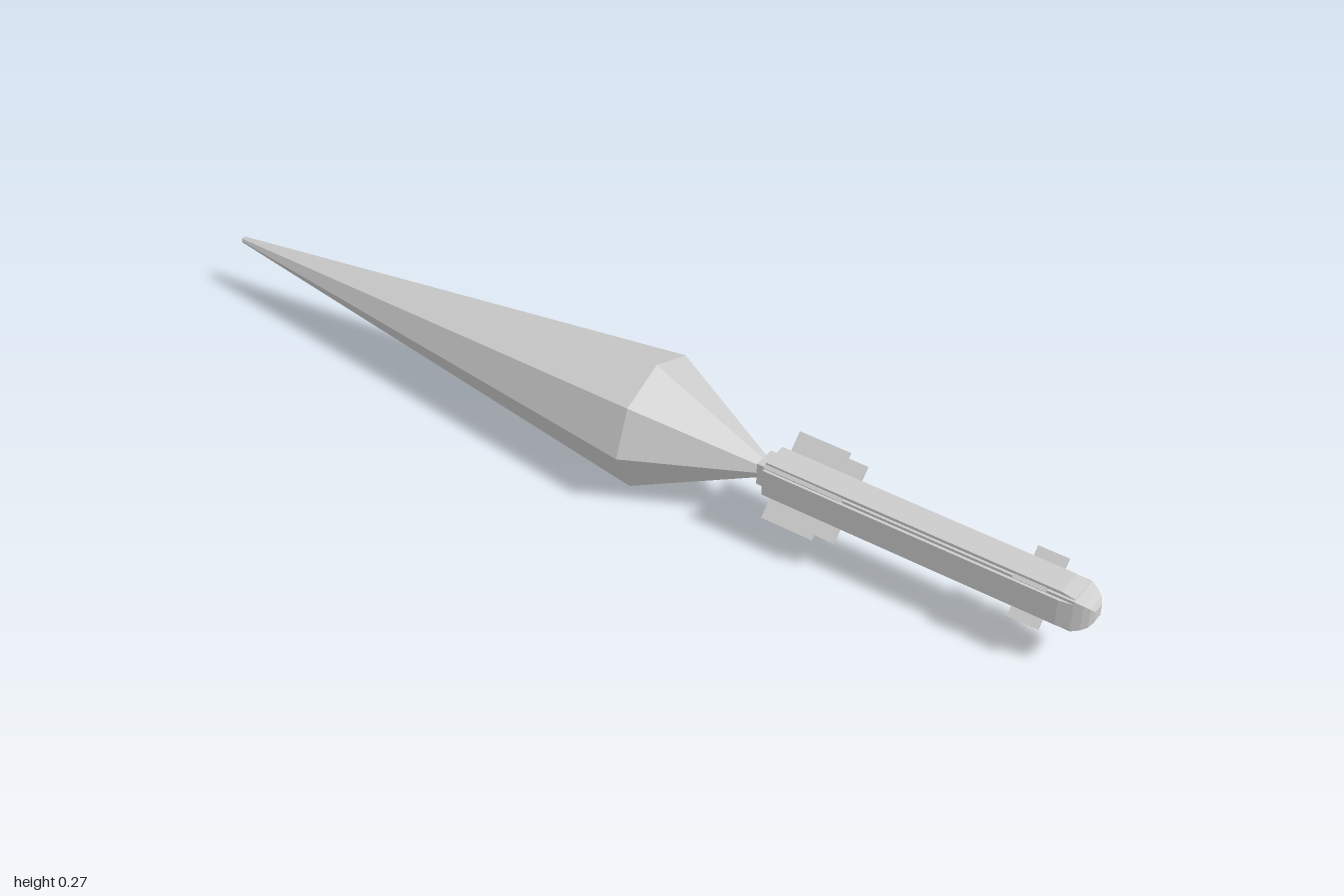
import * as THREE from 'three';

const CENTER_Y = 0.136;

export function createModel() {
  const model = new THREE.Group();
  const axis = new THREE.Group();
  axis.name = 'missile';
  axis.position.y = CENTER_Y;
  model.add(axis);
  const material = new THREE.MeshStandardMaterial({ color: 0xcccccc, flatShading: true });

  const add = (geometry, name) => {
    const mesh = new THREE.Mesh(geometry, material);
    mesh.name = name;
    axis.add(mesh);
    return mesh;
  };

  // Faceted solid around the z axis from [radius, z] pairs, back to front
  const turned = (profile, sides, turn) => {
    const points = profile.map(([r, z]) => new THREE.Vector2(r, z));
    return new THREE.LatheGeometry(points, sides).rotateX(Math.PI / 2).rotateZ(turn);
  };
  // Square section: half widths instead of radii
  const squared = (profile) =>
    turned(profile.map(([h, z]) => [h * Math.SQRT2, z]), 4, Math.PI / 4);

  // Slab from a [z, radial] outline, centred on its thickness
  const slab = (outline, thickness) => {
    const shape = new THREE.Shape(outline.map(([z, r]) => new THREE.Vector2(z, r)));
    return new THREE.ExtrudeGeometry(shape, { depth: thickness, bevelEnabled: false })
      .translate(0, 0, -thickness / 2)
      .rotateY(-Math.PI / 2);
  };

  // Square body with a stepped, rounded nose
  add(squared([
    [0, 0.335], [0.034, 0.335], [0.034, 0.968], [0.028, 0.983],
    [0.021, 0.994], [0.0125, 1], [0, 1],
  ]), 'body');

  // Raised panels on the four sides, as two crossing bars
  const panel = [
    [0.335, -0.04], [0.94, -0.04], [0.967, -0.035],
    [0.967, 0.035], [0.94, 0.04], [0.335, 0.04],
  ];
  for (let i = 0; i < 2; i++) {
    add(slab(panel, 0.057), 'sidePanels').rotation.z = i * Math.PI / 2;
  }

  // Nozzle collar behind the body
  add(squared([[0, 0.313], [0.024, 0.313], [0.024, 0.34], [0, 0.34]]), 'nozzle');

  // Diagonal fins: small ones by the nose, stepped ones at the tail
  const noseFin = [[0.855, 0.03], [0.915, 0.03], [0.915, 0.068], [0.855, 0.068]];
  const tailFin = [
    [0.352, 0.03], [0.502, 0.03], [0.502, 0.077],
    [0.46, 0.077], [0.46, 0.088], [0.352, 0.088],
  ];
  for (let i = 0; i < 4; i++) {
    const angle = Math.PI / 4 + i * Math.PI / 2;
    add(slab(noseFin, 0.008), 'noseFin').rotation.z = angle;
    add(slab(tailFin, 0.008), 'tailFin').rotation.z = angle;
  }

  // Eight-sided exhaust plume tapering to the back
  add(turned([
    [0, -1], [0.007, -1], [0.136, 0.072], [0.018, 0.318], [0, 0.318],
  ], 8, 0.04), 'exhaustPlume');

  return model;
}
